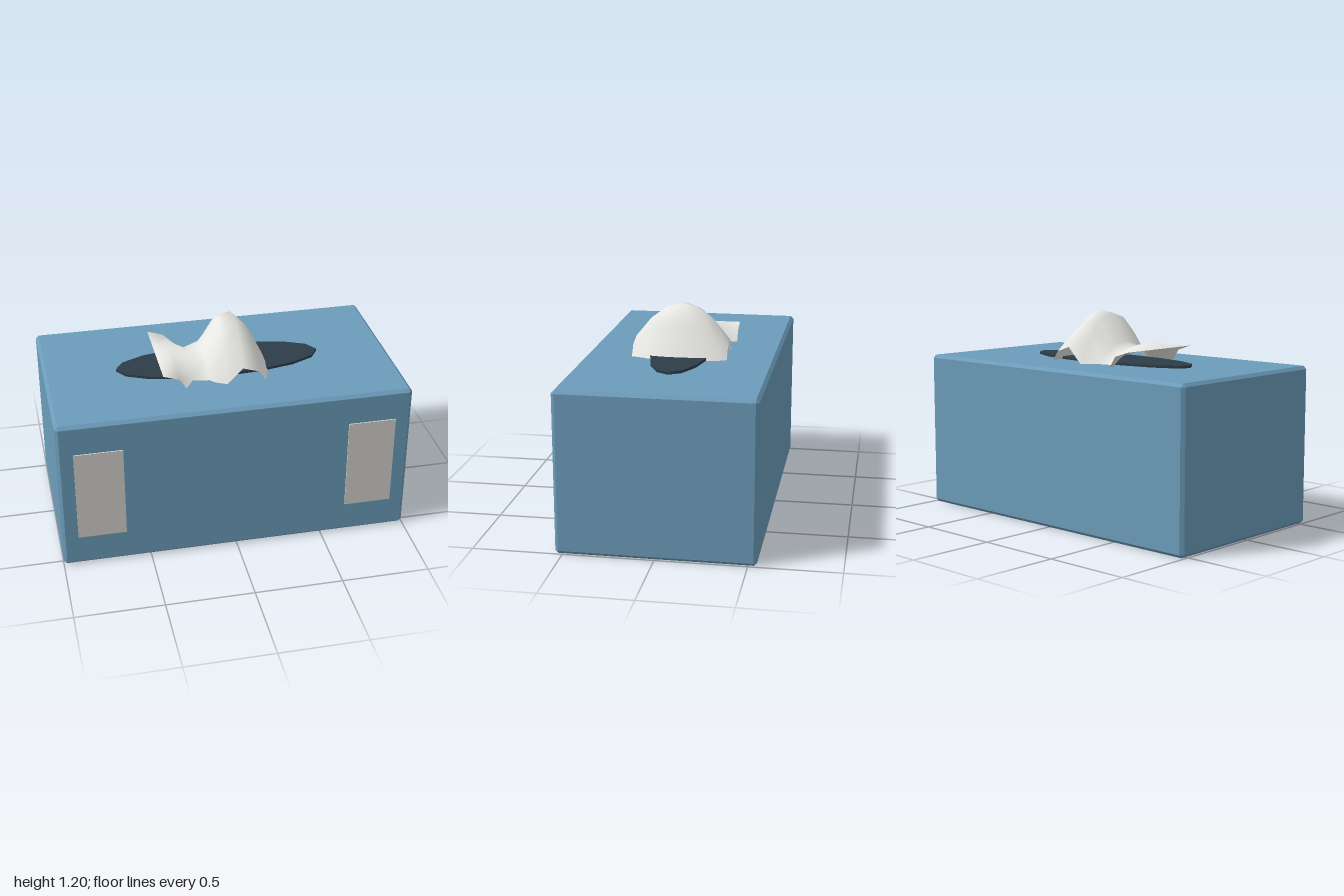
import * as THREE from 'three';
import { ConvexGeometry } from 'three/addons/geometries/ConvexGeometry.js';

const material = (name, color, side = THREE.FrontSide) => {
  const m = new THREE.MeshStandardMaterial({ color, side });
  m.name = name;
  return m;
};

// Box with a flat chamfer on every edge
function chamferBox(w, h, d, c) {
  const points = [];
  for (const x of [-1, 1]) for (const y of [-1, 1]) for (const z of [-1, 1]) {
    for (let axis = 0; axis < 3; axis++) {
      const inset = [c, c, c];
      inset[axis] = 0;
      points.push(new THREE.Vector3(
        x * (w / 2 - inset[0]), y * (h / 2 - inset[1]), z * (d / 2 - inset[2])));
    }
  }
  return new ConvexGeometry(points);
}

// Draped sheet: each row is [x, ridge height, drop at the side edges]
function tissueSheet(rows, halfWidth, steps) {
  const positions = [], index = [];
  rows.forEach(([x, ridge, drop], i) => {
    for (let j = 0; j <= steps; j++) {
      const t = (2 * j) / steps - 1;
      positions.push(x, ridge - drop * t * t, t * halfWidth);
      if (i && j) {
        const d = i * (steps + 1) + j, c = d - 1;
        const b = d - steps - 1, a = b - 1;
        index.push(a, b, c, b, d, c);
      }
    }
  });
  const geometry = new THREE.BufferGeometry();
  geometry.setAttribute('position', new THREE.Float32BufferAttribute(positions, 3));
  geometry.setIndex(index);
  geometry.computeVertexNormals();
  return geometry;
}

export function createModel() {
  const blue = material('carton blue', 0x6c9cba);
  const dark = material('slot dark', 0x2e3d48);
  const grey = material('panel grey', 0xd4d3ce);
  const white = material('tissue white', 0xe8e8e4, THREE.DoubleSide);

  const group = new THREE.Group();
  group.name = 'tissueBox';
  const add = (name, geometry, mat, x, y, z) => {
    const mesh = new THREE.Mesh(geometry, mat);
    mesh.name = name;
    mesh.position.set(x, y, z);
    group.add(mesh);
    return mesh;
  };

  // Carton
  const height = 0.91, depth = 1.09, zMid = -0.003;
  add('carton', chamferBox(2, height, depth, 0.018), blue, 0, height / 2, zMid);

  // Oval opening on top
  const oval = new THREE.CylinderGeometry(1, 1, 0.016, 16).rotateY(Math.PI / 2);
  oval.scale(0.59, 1, 0.18);
  add('opening', oval.toNonIndexed(), dark, 0, height + 0.007, zMid);

  // Two pale panels on the front
  for (const [name, side] of [['leftPanel', 1], ['rightPanel', -1]]) {
    add(name, new THREE.BoxGeometry(0.272, 0.545, 0.008), grey,
      side * 0.773, 0.458, zMid + depth / 2 + 0.003);
  }

  // Pulled-up tissue
  const rows = [
    [-0.363, 1.0, 0], [-0.272, 1.03, 0.06], [-0.182, 0.99, 0.16],
    [-0.091, 1.03, 0.2], [0, 1.187, 0.277], [0.091, 1.2, 0.2],
    [0.182, 1.1, 0.13], [0.272, 0.915, 0.07], [0.363, 0.8, 0.05],
  ];
  add('tissue', tissueSheet(rows, 0.273, 6), white, 0, 0, zMid);

  return group;
}
